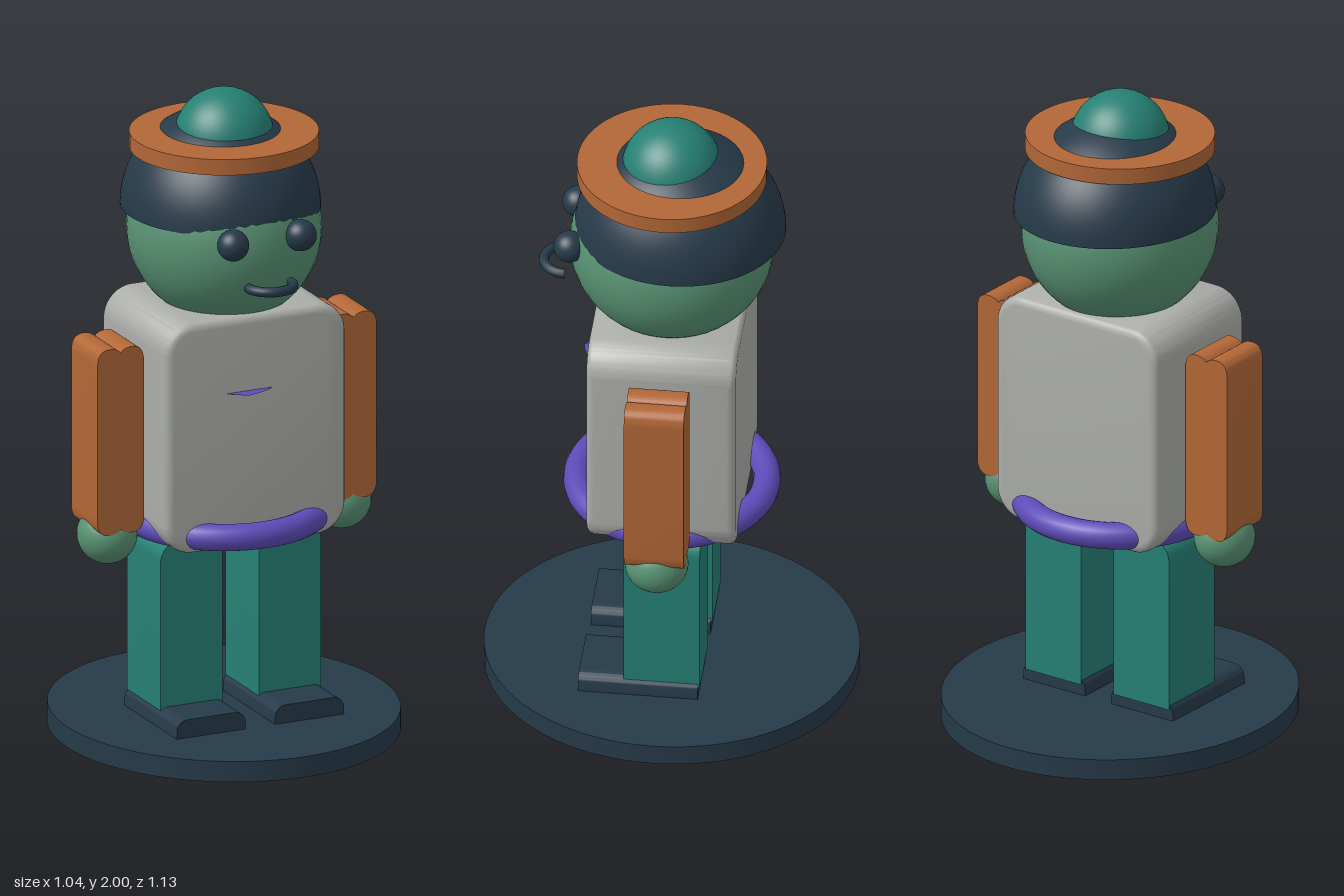
import * as THREE from 'three';
import { toCreasedNormals } from 'three/addons/utils/BufferGeometryUtils.js';

function material(name, color) {
  const m = new THREE.MeshStandardMaterial({ color });
  m.name = name;
  return m;
}

// Rectangle outline centred on the origin, with separate top and bottom corner radii
function roundedRect(w, h, rt, rb) {
  const s = new THREE.Shape(), x = w / 2, y = h / 2;
  s.moveTo(-x + rb, -y);
  s.lineTo(x - rb, -y);
  if (rb) s.absarc(x - rb, -y + rb, rb, -Math.PI / 2, 0);
  s.lineTo(x, y - rt);
  s.absarc(x - rt, y - rt, rt, 0, Math.PI / 2);
  s.lineTo(-x + rt, y);
  s.absarc(-x + rt, y - rt, rt, Math.PI / 2, Math.PI);
  s.lineTo(-x, -y + rb);
  if (rb) s.absarc(-x + rb, -y + rb, rb, Math.PI, Math.PI * 1.5);
  return s;
}

// Sleeve outline: two small humps with a shallow notch at each end
function sleeveShape(w, h) {
  const s = new THREE.Shape(), x = w / 2, y = h / 2, d = 0.05;
  s.moveTo(-x, -y + d);
  s.quadraticCurveTo(-x, -y, -x / 2, -y);
  s.quadraticCurveTo(-x * 0.15, -y, 0, -y + 0.015);
  s.quadraticCurveTo(x * 0.15, -y, x / 2, -y);
  s.quadraticCurveTo(x, -y, x, -y + d);
  s.lineTo(x, y - d);
  s.quadraticCurveTo(x, y, x / 2, y);
  s.quadraticCurveTo(x * 0.15, y, 0, y - 0.015);
  s.quadraticCurveTo(-x * 0.15, y, -x / 2, y);
  s.quadraticCurveTo(-x, y, -x, y - d);
  return s;
}

// Extrude along z, centred, with an optional soft bevel inside the outline
function extrude(shape, depth, bevel = 0) {
  const g = new THREE.ExtrudeGeometry(shape, {
    depth: depth - 2 * bevel, curveSegments: 10, bevelEnabled: bevel > 0,
    bevelThickness: bevel, bevelSize: bevel, bevelOffset: -bevel, bevelSegments: 4,
  });
  g.translate(0, 0, -depth / 2 + bevel);
  return toCreasedNormals(g, 0.6);
}

export function createModel() {
  const model = new THREE.Group();
  const navy = material('navy', 0x263a49);
  const teal = material('teal', 0x268074);
  const skin = material('green skin', 0x589273);
  const grey = material('light grey', 0xacaeaa);
  const orange = material('rust orange', 0xb26737);
  const purple = material('purple', 0x5e4bb8);
  purple.side = THREE.DoubleSide;

  function add(name, geometry, mat, x, y, z) {
    const mesh = new THREE.Mesh(geometry, mat);
    mesh.name = name;
    mesh.position.set(x, y, z);
    model.add(mesh);
    return mesh;
  }
  const ball = (r) => new THREE.SphereGeometry(r, 40, 28);

  // Oval stand
  add('base', new THREE.CylinderGeometry(1, 1, 0.065, 80), navy, 0, 0.0325, 0).scale.set(0.52, 1, 0.563);

  // Torso, belt and chest flap
  add('torso', extrude(roundedRect(0.6, 0.725, 0.095, 0.095), 0.45, 0.025), grey, 0, 0.9925, 0);
  add('belt', new THREE.TorusGeometry(0.284, 0.041, 18, 72), purple, 0, 0.68, 0).rotation.x = Math.PI / 2;
  const flap = new THREE.Shape();
  flap.moveTo(-0.1, 0);
  flap.lineTo(-0.05, 0.045);
  flap.quadraticCurveTo(0.01, 0.035, 0.053, 0);
  add('chestFlap', new THREE.ShapeGeometry(flap), purple, 0, 1.12, 0.225).rotation.x = Math.PI / 2;

  // Paired limbs
  const legGeo = extrude(roundedRect(0.205, 0.54, 0.06, 0), 0.23);
  const footGeo = extrude(roundedRect(0.228, 0.06, 0.035, 0), 0.36);
  const sleeveGeo = extrude(sleeveShape(0.154, 0.585), 0.18);
  for (const [side, s] of [['left', 1], ['right', -1]]) {
    add(side + 'Leg', legGeo, teal, s * 0.163, 0.37, 0);
    add(side + 'Foot', footGeo, navy, s * 0.163, 0.092, 0.07);
    add(side + 'Arm', sleeveGeo, orange, s * 0.386, 0.9725, 0);
    add(side + 'Hand', ball(0.09), skin, s * 0.388, 0.655, 0).scale.z = 1.06;
    add(side + 'Eye', ball(0.048), navy, s * 0.112, 1.61, 0.295);
  }

  // Head and mouth
  add('head', ball(1), skin, 0, 1.57, 0).scale.set(0.29, 0.29, 0.306);
  add('mouth', new THREE.TorusGeometry(0.071, 0.015, 12, 36, Math.PI), navy, 0, 1.475, 0.314).rotation.x = Math.PI / 2;

  // Hair cap, closed underneath
  const profile = [new THREE.Vector2(0, 0)];
  for (let i = 0; i <= 24; i++) {
    const a = (i / 24) * Math.PI / 2;
    profile.push(new THREE.Vector2(i === 24 ? 0 : Math.cos(a), Math.sin(a)));
  }
  const cap = toCreasedNormals(new THREE.LatheGeometry(profile, 56), 0.6);
  add('hair', cap, navy, 0, 1.63, -0.025).scale.set(0.297, 0.3, 0.317);

  // Hat brim and crown
  add('hatBrim', new THREE.CylinderGeometry(0.284, 0.284, 0.05, 64), orange, 0, 1.845, 0);
  add('hatCrown', ball(0.15), teal, 0, 1.85, 0);

  return model;
}
